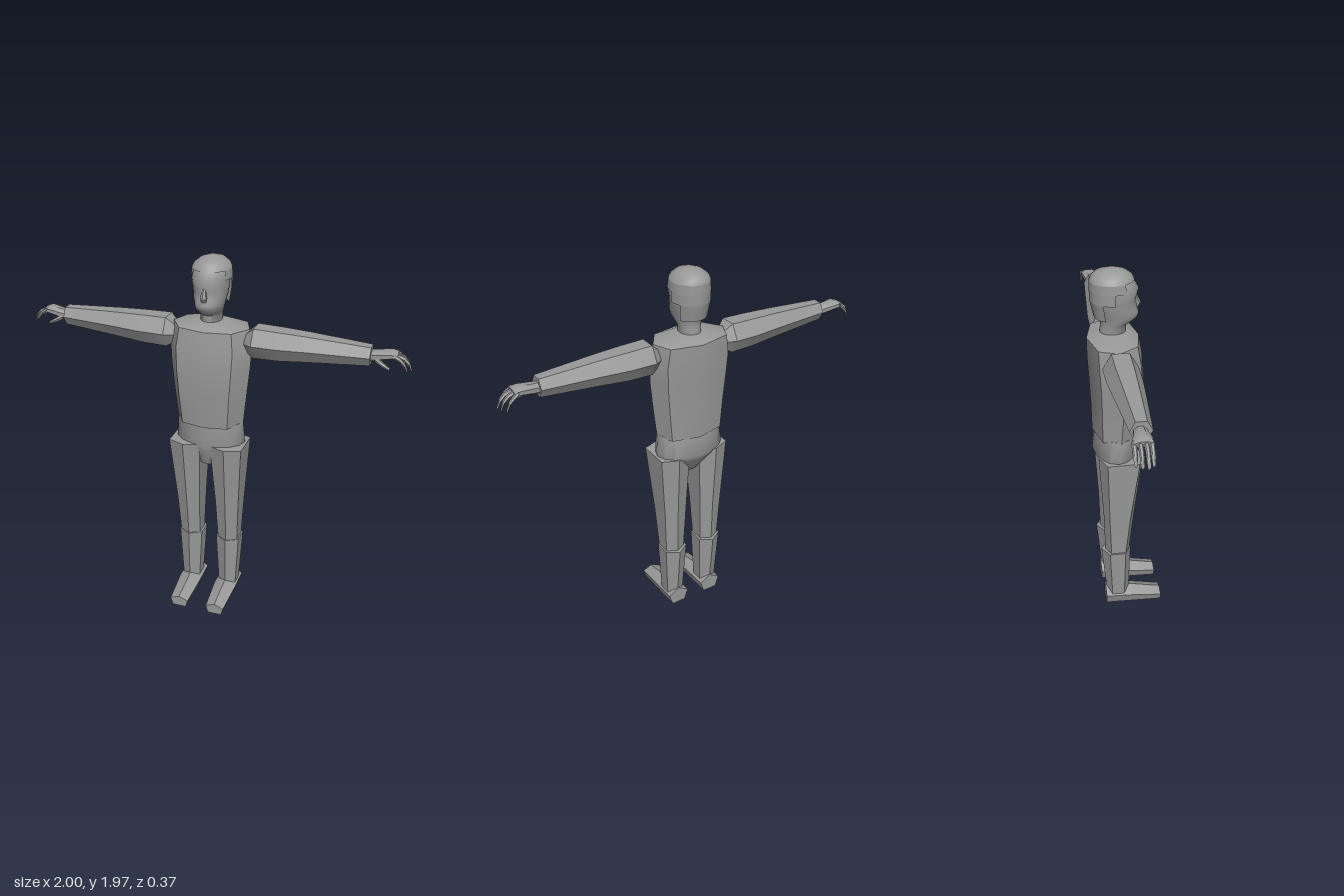
import * as THREE from 'three';
import { toCreasedNormals } from 'three/addons/utils/BufferGeometryUtils.js';

// Skin a list of equal-length cross-sections (each a list of [x, y, z]).
function loft(sections, closed = true, crease = 0.6) {
  const n = sections[0].length;
  const pos = sections.flat(2);
  const idx = [];
  for (let i = 0; i < sections.length - 1; i++) {
    for (let j = 0; j < (closed ? n : n - 1); j++) {
      const k = (j + 1) % n;
      const a = i * n + j, b = i * n + k, c = a + n, d = b + n;
      idx.push(a, b, d, a, d, c);
    }
  }
  // fan caps at both ends
  if (closed) {
    [0, sections.length - 1].forEach((i) => {
      const centre = [0, 1, 2].map((q) => sections[i].reduce((s, p) => s + p[q], 0) / n);
      const m = pos.length / 3;
      pos.push(...centre);
      for (let j = 0; j < n; j++) {
        const a = i * n + j, b = i * n + ((j + 1) % n);
        if (i === 0) idx.push(m, b, a);
        else idx.push(m, a, b);
      }
    });
  }
  const g = new THREE.BufferGeometry();
  g.setAttribute('position', new THREE.Float32BufferAttribute(pos, 3));
  g.setIndex(idx);
  return toCreasedNormals(g, crease);
}

const mirror = (sections) => sections.map((s) => s.map(([x, y, z]) => [-x, y, z]).reverse());

// Horizontal oval ring; from/to pick part of its steps.
function oval([y, rx, zf, zb], n = 24, from = 0, to = n - 1) {
  const out = [];
  for (let j = from; j <= to; j++) {
    const a = (j / n) * Math.PI * 2;
    out.push([rx * Math.sin(a), y, (zf + zb) / 2 + ((zf - zb) / 2) * Math.cos(a)]);
  }
  return out;
}

// Horizontal eight-point chest ring.
const CHEST = [[0, 1], [0.68, 0.8], [1, 0.05], [0.8, -0.7], [0, -1], [-0.8, -0.7], [-1, 0.05], [-0.68, 0.8]];
const chestRing = ([y, rx, zf, zb]) =>
  CHEST.map(([u, v]) => [u * rx, y, (zf + zb) / 2 + (v * (zf - zb)) / 2]);

// Upright ring across the arm direction.
function armRing([x, cy, ry, cz, rz], n = 6) {
  return Array.from({ length: n }, (_, k) => {
    const a = ((k + 0.5) / n) * Math.PI * 2;
    return [x, cy + ry * Math.cos(a), cz + rz * Math.sin(a)];
  });
}

// Six-sided leg ring with ridges at front and back.
const legRing = ([y, x0, x1, ridgeF, cornerF, cornerB, ridgeB]) => {
  const c = (x0 + x1) / 2;
  return [[c, y, ridgeF], [x1, y, cornerF], [x1, y, cornerB], [c, y, ridgeB], [x0, y, cornerB], [x0, y, cornerF]];
};

// Five-sided foot ring with a ridge on top.
const footRing = ([z, w, wb, bottom, side, top]) => {
  const c = 0.105;
  return [[c, top, z], [c - w, side, z], [c - wb, bottom, z], [c + wb, bottom, z], [c + w, side, z]];
};

export function createModel() {
  const model = new THREE.Group();
  const grey = new THREE.MeshStandardMaterial({ color: 0x999999, side: THREE.DoubleSide });
  grey.name = 'plain grey';

  const add = (name, geometry) => {
    const mesh = new THREE.Mesh(geometry, grey);
    mesh.name = name;
    model.add(mesh);
  };
  const addPair = (name, sections) => {
    add(name + 'Left', loft(sections));
    add(name + 'Right', loft(mirror(sections)));
  };

  // Head and neck
  add('head', loft([
    [1.63, 0.053, 0.01, -0.12], [1.685, 0.056, 0.012, -0.115], [1.7, 0.062, 0.035, -0.115],
    [1.725, 0.07, 0.068, -0.12], [1.75, 0.076, 0.074, -0.13], [1.775, 0.081, 0.064, -0.14],
    [1.82, 0.088, 0.058, -0.15], [1.87, 0.092, 0.072, -0.155], [1.92, 0.086, 0.043, -0.15],
    [1.95, 0.05, 0.01, -0.12],
  ].map((r) => oval(r)), true, 0.9));

  // Nose
  add('nose', loft([
    [1.77, 0.014, 0.072, 0.05], [1.79, 0.018, 0.086, 0.045], [1.84, 0.008, 0.06, 0.04],
  ].map((r) => oval(r, 6)), true, 0.9));

  // Hair: crown, then bands stepping back behind the temples and ears
  add('hairCrown', loft([
    [1.915, 0.098, 0.052, -0.165], [1.935, 0.087, 0.042, -0.158],
    [1.955, 0.062, 0.015, -0.135], [1.97, 0.022, -0.03, -0.085],
  ].map((r) => oval(r)), true, 0.8));
  const bands = [
    ['hairTemples', 4, 20, [1.87, 0.101, 0.06, -0.166], [1.915, 0.098, 0.052, -0.165]],
    ['hairSides', 6, 18, [1.815, 0.1, 0.06, -0.164], [1.87, 0.101, 0.06, -0.166]],
    ['hairNape', 8, 16, [1.73, 0.088, 0.05, -0.145], [1.815, 0.1, 0.06, -0.164]],
  ];
  for (const [name, from, to, low, high] of bands) {
    add(name, loft([oval(low, 24, from, to), oval(high, 24, from, to)], false));
  }

  // Torso
  add('torso', loft([
    [1.1, 0.18, 0.08, -0.165], [1.25, 0.195, 0.095, -0.168], [1.4, 0.21, 0.1, -0.175],
    [1.52, 0.217, 0.092, -0.182], [1.62, 0.2, 0.075, -0.183], [1.65, 0.06, 0.015, -0.125],
  ].map(chestRing)));

  // Hips
  add('hips', loft([
    [0.86, 0.05, 0.03, -0.085], [0.9, 0.085, 0.045, -0.115], [0.96, 0.165, 0.06, -0.15],
    [0.99, 0.188, 0.065, -0.167], [1.11, 0.178, 0.065, -0.15],
  ].map((r) => oval(r, 16)), true, 0.8));

  // Arms
  addPair('arm', [
    [0.185, 1.555, 0.05, -0.05, 0.05], [0.23, 1.563, 0.088, -0.05, 0.087],
    [0.36, 1.563, 0.085, -0.05, 0.085], [0.5, 1.567, 0.075, -0.05, 0.075],
    [0.805, 1.57, 0.053, -0.05, 0.051],
  ].map((r) => armRing(r)));

  // Hands
  addPair('palm', [
    [0.79, 1.565, 0.03, -0.055, 0.03], [0.83, 1.57, 0.029, -0.055, 0.035],
    [0.9, 1.585, 0.024, -0.061, 0.046], [0.93, 1.583, 0.015, -0.062, 0.043],
  ].map((r) => armRing(r, 8)));
  [[-0.1, 0.975], [-0.075, 0.993], [-0.05, 1], [-0.027, 0.983]].forEach(([z, tip], i) => {
    addPair('finger' + (i + 1), [
      [0.915, 1.586, 0.012, z, 0.012], [tip - 0.04, 1.571, 0.012, z, 0.011],
      [tip - 0.015, 1.548, 0.012, z, 0.01], [tip, 1.514, 0.007, z, 0.007],
    ].map((r) => armRing(r)));
  });
  addPair('thumb', [
    [0.825, 1.56, 0.016, -0.035, 0.014], [0.86, 1.542, 0.014, -0.022, 0.012],
    [0.9, 1.522, 0.008, -0.018, 0.008],
  ].map((r) => armRing(r)));

  // Legs
  addPair('thigh', [
    [0.36, 0.055, 0.163, 0.012, -0.015, -0.09, -0.118], [0.62, 0.046, 0.175, 0.04, 0.01, -0.1, -0.125],
    [0.985, 0.028, 0.198, 0.085, 0.055, -0.11, -0.147],
  ].map(legRing));
  addPair('shin', [
    [0.06, 0.06, 0.155, 0.01, -0.02, -0.085, -0.11], [0.385, 0.043, 0.172, 0.022, -0.015, -0.1, -0.14],
  ].map(legRing));

  // Feet
  addPair('foot', [
    [-0.12, 0.06, 0.04, 0.018, 0.08, 0.117], [0.01, 0.062, 0.042, 0.014, 0.075, 0.107],
    [0.19, 0.051, 0.038, 0.003, 0.045, 0.066],
  ].map(footRing));

  // Rest the soles on the ground and centre the figure front to back
  const box = new THREE.Box3().setFromObject(model);
  model.position.set(0, -box.min.y, -(box.min.z + box.max.z) / 2);
  return model;
}
